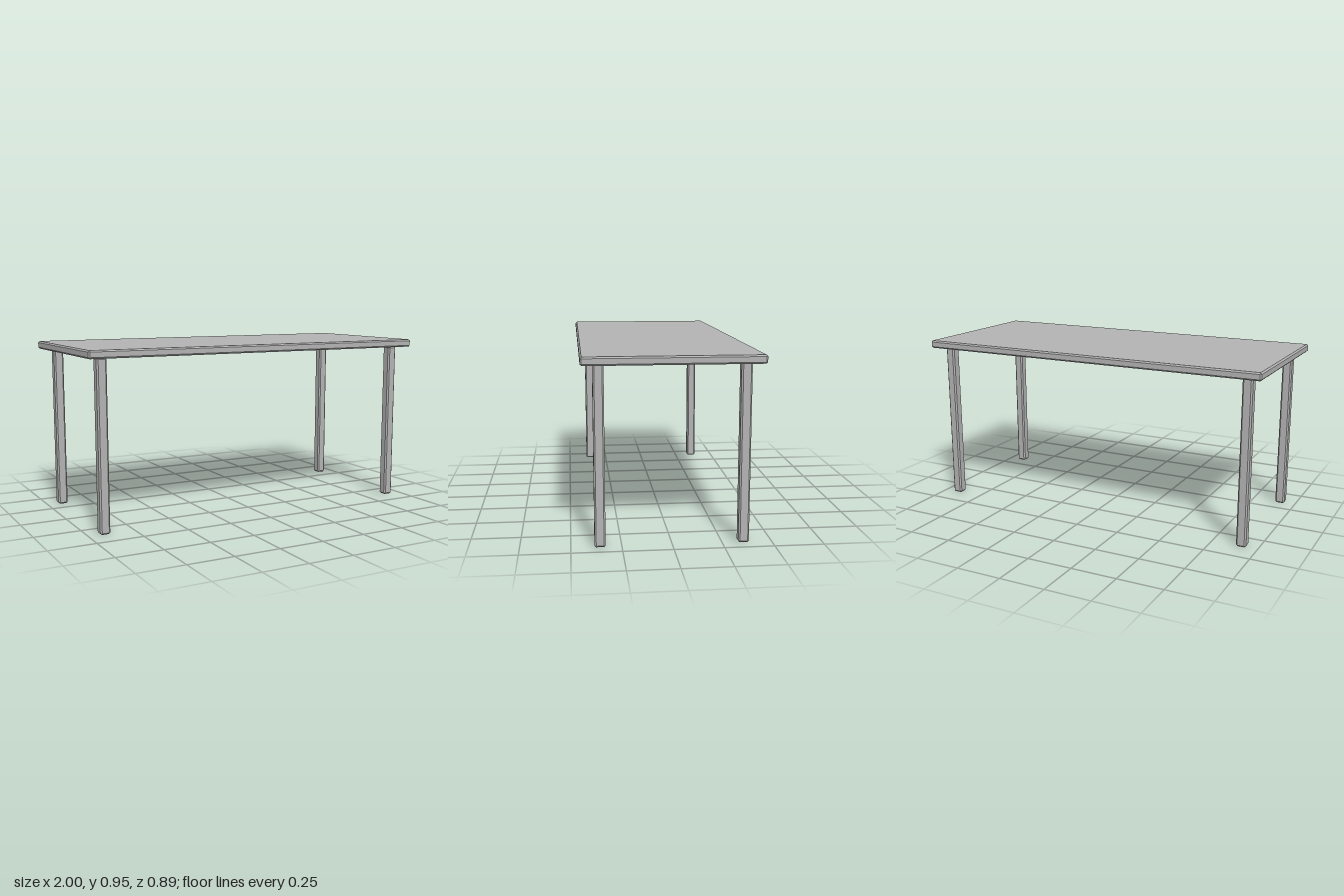
import * as THREE from 'three';
import { ConvexGeometry } from 'three/addons/geometries/ConvexGeometry.js';

// Box with every edge and corner chamfered by c, centred on the origin
function chamferBox(w, h, d, c) {
  const points = [];
  const [x, y, z] = [w / 2, h / 2, d / 2];
  for (const sx of [-1, 1]) for (const sy of [-1, 1]) for (const sz of [-1, 1]) {
    points.push(
      new THREE.Vector3(sx * x, sy * (y - c), sz * (z - c)),
      new THREE.Vector3(sx * (x - c), sy * y, sz * (z - c)),
      new THREE.Vector3(sx * (x - c), sy * (y - c), sz * z)
    );
  }
  return new ConvexGeometry(points);
}

export function createModel() {
  const table = new THREE.Group();
  table.name = 'table';
  const grey = new THREE.MeshStandardMaterial({ color: 0xb2b2b2 });
  grey.name = 'grey';

  const legHeight = 0.903, topThickness = 0.043, chamfer = 0.008;

  // Table top
  const top = new THREE.Mesh(chamferBox(2, topThickness, 0.886, chamfer), grey);
  top.name = 'tableTop';
  top.position.y = legHeight + topThickness / 2;
  table.add(top);

  // Four legs, set in from the corners
  const legGeometry = chamferBox(0.054, legHeight, 0.054, chamfer);
  for (const [side, x] of [['Left', 0.912], ['Right', -0.912]]) {
    for (const [end, z] of [['front', 0.357], ['back', -0.357]]) {
      const leg = new THREE.Mesh(legGeometry, grey);
      leg.name = `${end}${side}Leg`;
      leg.position.set(x, legHeight / 2, z);
      table.add(leg);
    }
  }
  return table;
}
